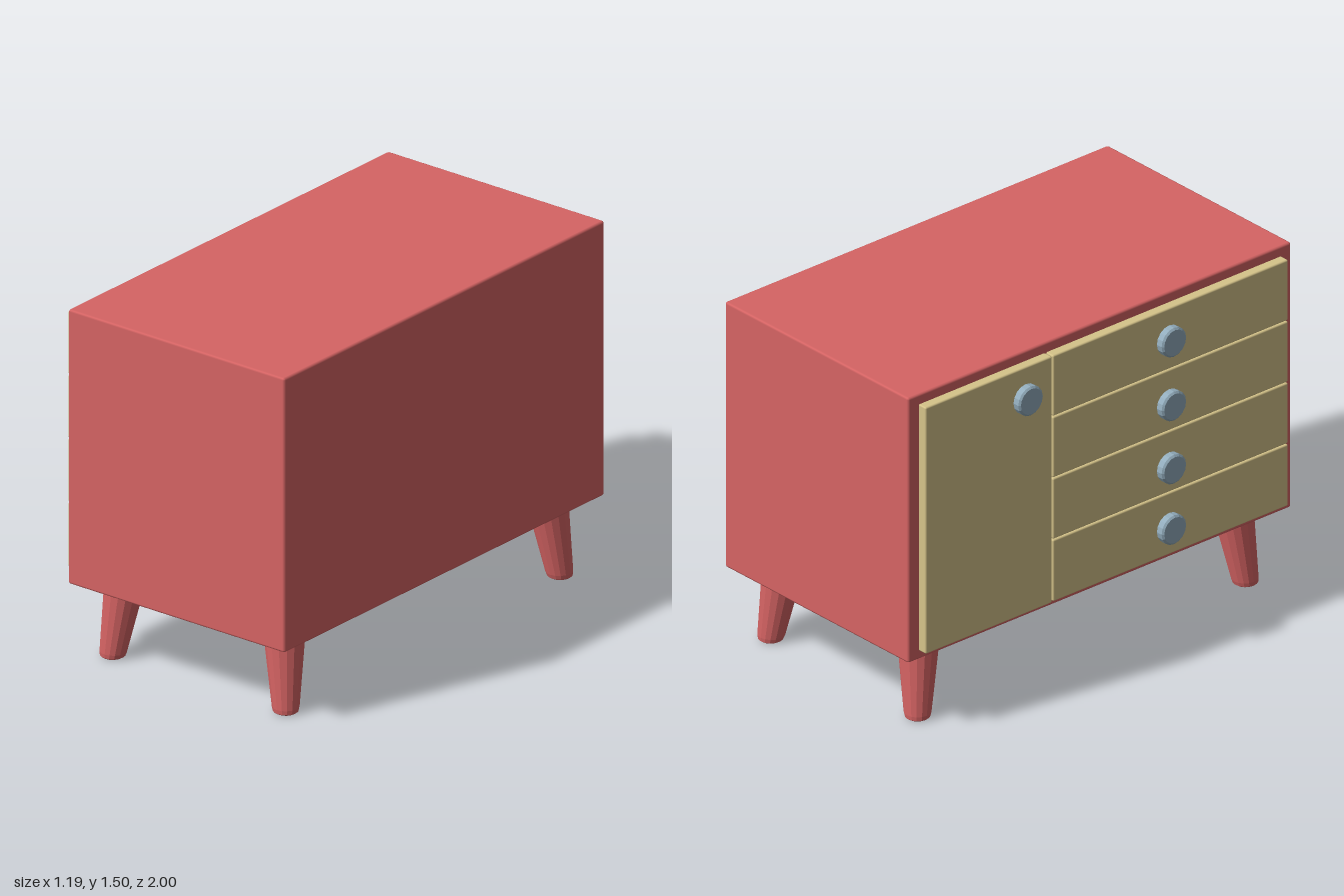
import * as THREE from 'three';
import { RoundedBoxGeometry } from 'three/addons/geometries/RoundedBoxGeometry.js';

const red = new THREE.MeshStandardMaterial({ name: 'red paint', color: 0xd66464 });
const tan = new THREE.MeshStandardMaterial({ name: 'tan wood', color: 0xd6c48a });
const steel = new THREE.MeshStandardMaterial({ name: 'blue grey metal', color: 0x93adbd });

export function createModel() {
  const group = new THREE.Group();
  group.name = 'sideboard';

  const add = (name, geometry, material) => {
    const mesh = new THREE.Mesh(geometry, material);
    mesh.name = name;
    group.add(mesh);
    return mesh;
  };

  // box with softened edges between two corners
  const box = (name, material, bevel, [x0, y0, z0], [x1, y1, z1]) => {
    const geometry = new RoundedBoxGeometry(x1 - x0, y1 - y0, z1 - z0, 1, bevel);
    add(name, geometry, material).position.set((x0 + x1) / 2, (y0 + y1) / 2, (z0 + z1) / 2);
  };

  // faceted solid of revolution from [radius, height] points
  const turned = (profile, sides) => {
    const points = profile.map(([r, y]) => new THREE.Vector2(r, y));
    return new THREE.LatheGeometry(points, sides).toNonIndexed();
  };

  // cabinet body
  box('cabinet', red, 0.01, [-0.5, 0.328, -0.998], [0.588, 1.5, 0.998]);

  // door and four stacked drawer fronts on the -x side
  box('door', tan, 0.007, [-0.547, 0.37, -0.948], [-0.501, 1.46, -0.288]);
  const seams = [0.37, 0.646, 0.918, 1.19, 1.462];
  for (let i = 0; i < 4; i++) {
    box('drawerFront', tan, 0.007, [-0.547, seams[i] + 0.002, -0.284], [-0.501, seams[i + 1] - 0.002, 0.942]);
  }

  // round knobs
  const knob = turned([[0, -0.021], [0.056, -0.021], [0.064, -0.014], [0.064, 0.014], [0.056, 0.021], [0, 0.021]], 16);
  knob.rotateZ(Math.PI / 2);
  knob.computeVertexNormals();
  const knobs = [[1.332, -0.44], [1.332, 0.307], [1.05, 0.307], [0.771, 0.307], [0.503, 0.307]];
  for (const [y, z] of knobs) add('knob', knob, steel).position.set(-0.576, y, z);

  // tapered legs, sheared so that the feet splay outwards
  for (const sx of [-1, 1]) {
    for (const sz of [-1, 1]) {
      const leg = turned([[0, 0.002], [0.042, 0.002], [0.051, 0.008], [0.055, 0.025], [0.085, 0.335], [0, 0.335]], 16);
      const p = leg.attributes.position;
      for (let i = 0; i < p.count; i++) {
        const splay = 0.037 * (1 - p.getY(i) / 0.33);
        p.setX(i, p.getX(i) + sx * splay);
        p.setZ(i, p.getZ(i) + sz * splay);
      }
      leg.computeVertexNormals();
      add('leg', leg, red).position.set(0.044 + sx * 0.399, 0, sz * 0.818);
    }
  }

  return group;
}
